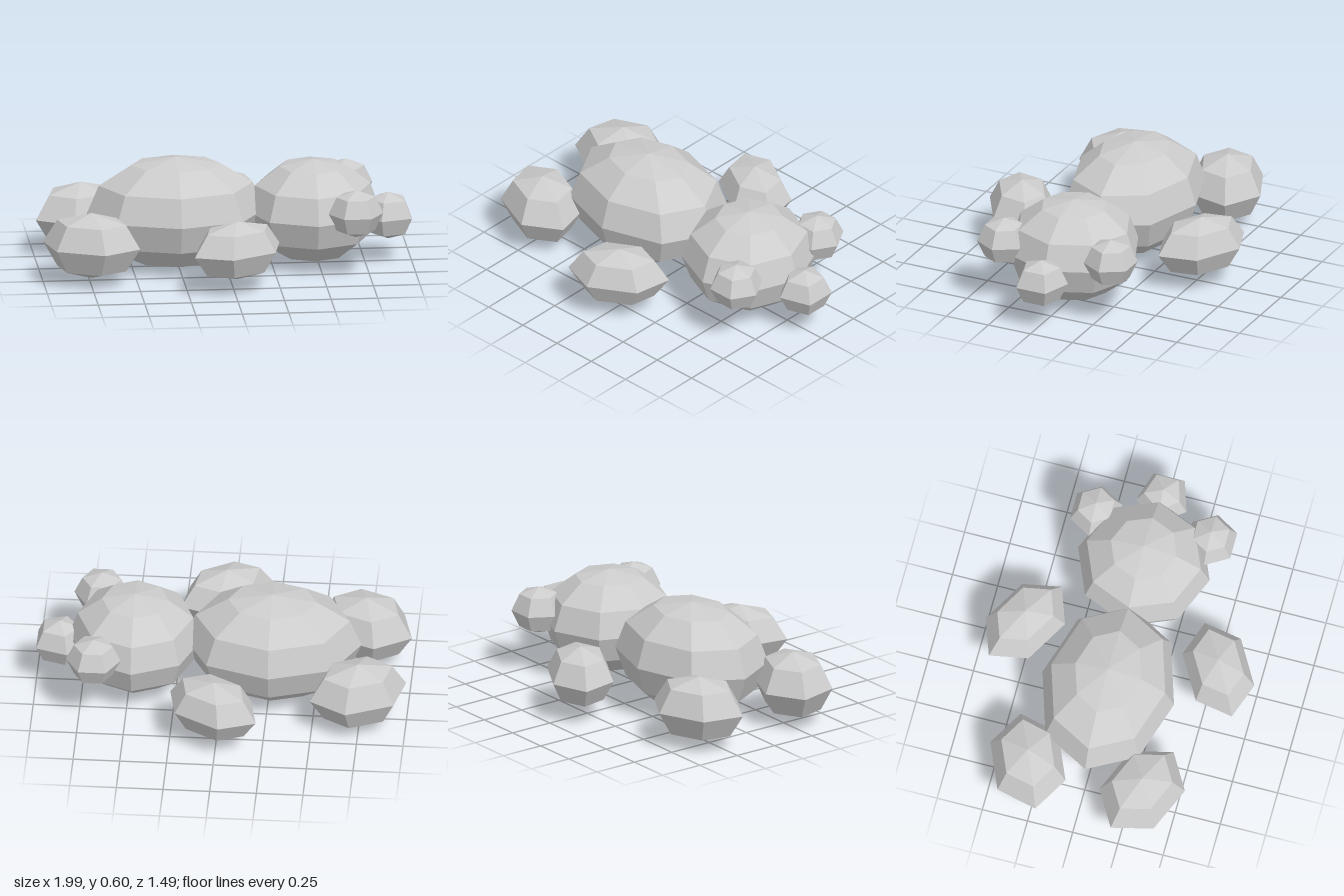
import * as THREE from 'three';

const grey = new THREE.MeshStandardMaterial({ color: 0xcccccc, flatShading: true });
grey.name = 'grey';

// Low-poly ellipsoid: radii, position, segment counts and turn about y
function blob(name, radii, position, sides, rings, turn = 0) {
  const geometry = new THREE.SphereGeometry(1, sides, rings);
  geometry.scale(...radii);
  const mesh = new THREE.Mesh(geometry, grey);
  mesh.name = name;
  mesh.position.set(...position);
  mesh.rotation.y = turn;
  return mesh;
}

export function createModel() {
  const model = new THREE.Group();
  model.name = 'animal';

  // Body, head and snout lie along x
  model.add(
    blob('body', [0.477, 0.302, 0.364], [-0.265, 0.307, 0], 8, 6),
    blob('head', [0.358, 0.278, 0.364], [0.47, 0.3, 0], 8, 6),
    blob('snout', [0.15, 0.129, 0.147], [0.875, 0.256, 0], 5, 4)
  );

  // Paired parts, mirrored across z
  for (const [side, s] of [['front', 1], ['back', -1]]) {
    model.add(
      blob(side + 'Eye', [0.147, 0.13, 0.144], [0.673, 0.357, s * 0.318], 6, 4),
      blob(side + 'ForeLimb', [0.276, 0.16, 0.187], [0.016, 0.23, s * 0.534], 6, 4, s * 0.524),
      blob(side + 'HindLimb', [0.273, 0.18, 0.212], [-0.745, 0.216, s * 0.316], 6, 4, -s * 0.403)
    );
  }
  return model;
}
